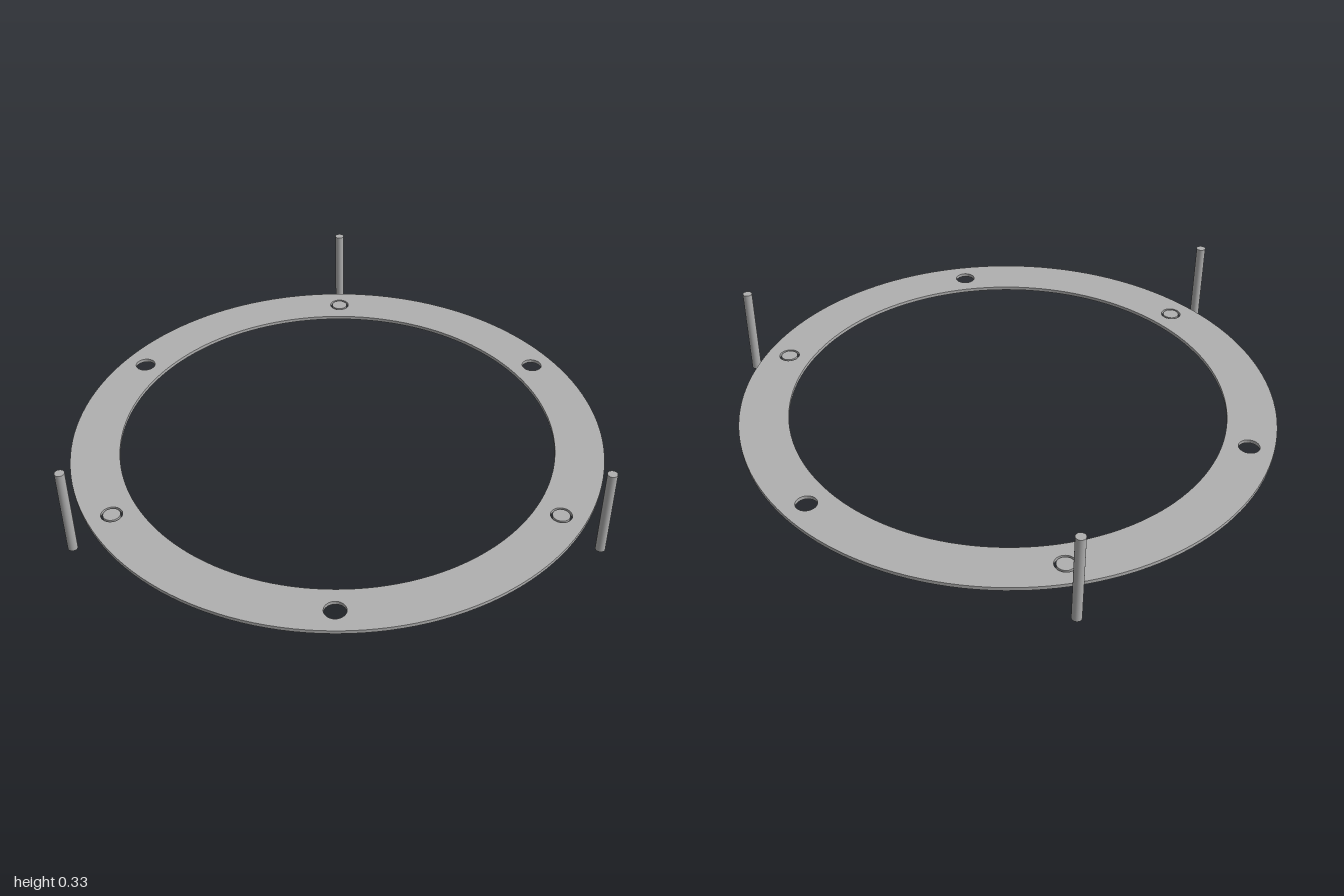
import * as THREE from 'three';
import { toCreasedNormals } from 'three/addons/utils/BufferGeometryUtils.js';

const CENTRE_X = -0.04;
const PLATE_Y = 0.07, PLATE_THICK = 0.013;
const HOLE_CIRCLE = 0.874, PIN_CIRCLE = 1.022;

export function createModel() {
  const model = new THREE.Group();
  const grey = new THREE.MeshStandardMaterial({ color: 0xb0b0b0 });
  grey.name = 'grey';

  const add = (name, geometry, x, y, z) => {
    const mesh = new THREE.Mesh(geometry, grey);
    mesh.name = name;
    mesh.position.set(x, y, z);
    model.add(mesh);
  };

  // Flat ring with a central opening and six bolt holes
  const outline = new THREE.Shape().absarc(0, 0, 0.96, 0, Math.PI * 2, false);
  const cut = (x, y, r) => outline.holes.push(new THREE.Path().absarc(x, y, r, 0, Math.PI * 2, true));
  cut(0, 0, 0.785);
  for (let i = 0; i < 6; i++) {
    const a = (i * Math.PI) / 3;
    cut(Math.cos(a) * HOLE_CIRCLE, Math.sin(a) * HOLE_CIRCLE, 0.037);
  }
  const plate = new THREE.ExtrudeGeometry(outline, { depth: PLATE_THICK, bevelEnabled: false, curveSegments: 72 });
  plate.rotateX(-Math.PI / 2);
  add('ringPlate', toCreasedNormals(plate, 0.6), CENTRE_X, PLATE_Y, 0);

  // Every second hole holds a loose plug, with an upright pin just outside the rim
  const plug = new THREE.CylinderGeometry(0.03, 0.03, PLATE_THICK, 32);
  const pin = new THREE.CylinderGeometry(0.017, 0.017, 0.327, 24);
  for (let i = 0; i < 3; i++) {
    const a = (i * Math.PI * 2) / 3;
    const c = Math.cos(a), s = Math.sin(a);
    add('plug' + (i + 1), plug, CENTRE_X + c * HOLE_CIRCLE, PLATE_Y + PLATE_THICK / 2, s * HOLE_CIRCLE);
    add('pin' + (i + 1), pin, CENTRE_X + c * PIN_CIRCLE, 0.1635, s * PIN_CIRCLE);
  }
  return model;
}
